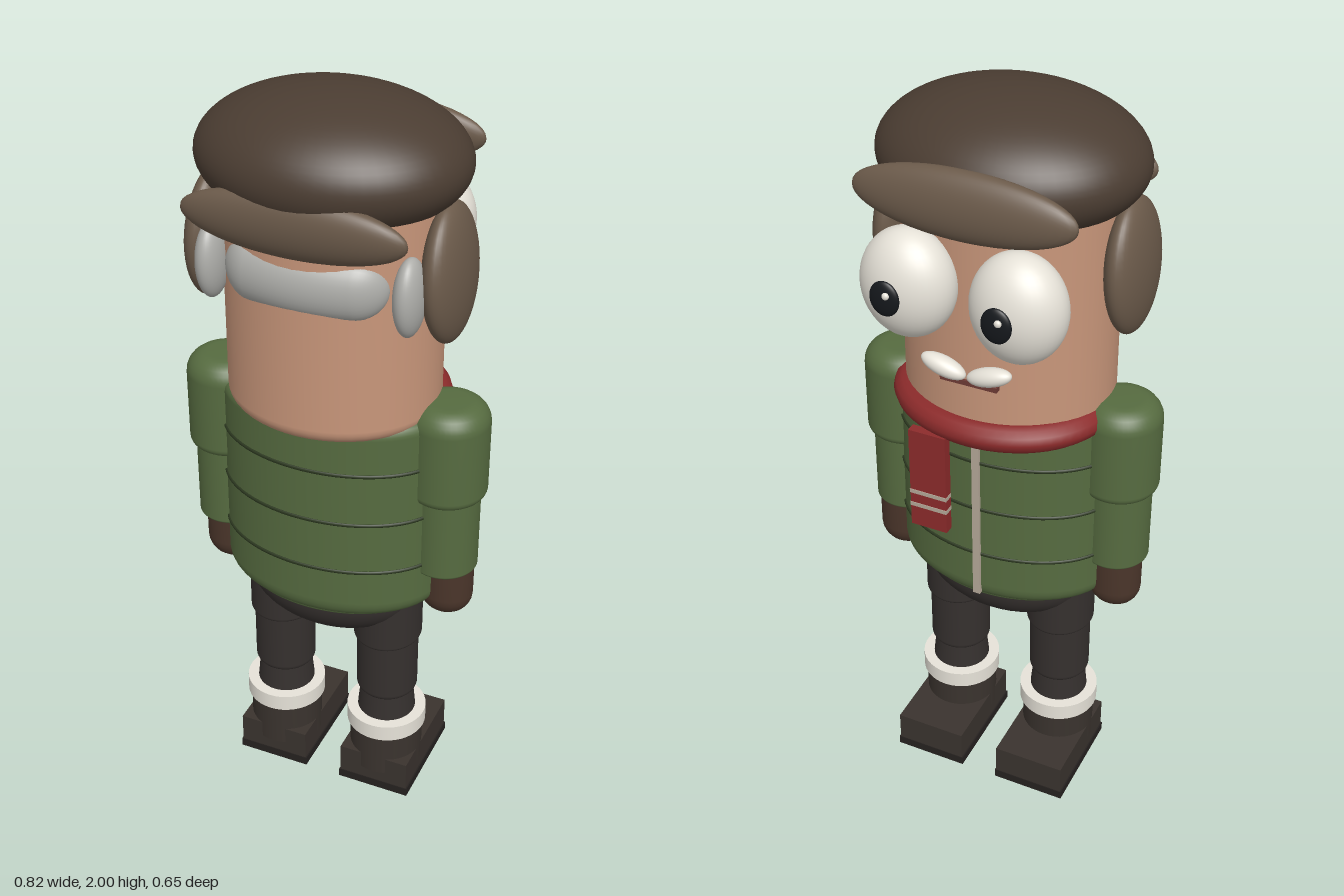
import * as THREE from 'three';

const C = {
  skin: 0xc8967a, cap: 0x4b3d32, fur: 0x6b5a4a, coat: 0x566b40, seam: 0x2c3820, scarf: 0x8c2b2b,
  white: 0xe6e2d8, black: 0x15181c, hair: 0xaeaeaa, pants: 0x35302e, boot: 0x3a332e, sole: 0x262220,
  glove: 0x4a352a, mouth: 0x6e3b35, zip: 0xb5a898,
};
const CZ = 0.043; // depth of the body axis

export function createModel() {
  const model = new THREE.Group();
  const mats = {};
  const mat = (c) => (mats[c] ??= new THREE.MeshStandardMaterial({ color: C[c], side: THREE.DoubleSide }));

  function add(name, geo, color, x, y, z) {
    const m = new THREE.Mesh(geo, mat(color));
    m.name = name;
    m.position.set(x, y, z);
    model.add(m);
    return m;
  }
  const ball = (name, color, x, y, z, rx, ry, rz) =>
    add(name, new THREE.SphereGeometry(1, 40, 24).scale(rx, ry, rz), color, x, y, z);
  const box = (name, color, x, y, z, w, h, d) => add(name, new THREE.BoxGeometry(w, h, d), color, x, y, z);
  const tube = (name, color, x, y0, y1, z, r0, r1 = r0) =>
    add(name, new THREE.CylinderGeometry(r1, r0, y1 - y0, 40), color, x, (y0 + y1) / 2, z);

  // Upright rounded drum with separate corner radii at the bottom and top
  function drum(name, color, x, y0, y1, z, rx, rz, bottom, top) {
    const pts = [new THREE.Vector2(0, y0)];
    const corner = (cy, c, a0) => {
      for (let i = 0; i <= 6; i++) {
        const a = a0 + (i / 6) * (Math.PI / 2);
        pts.push(new THREE.Vector2(1 - (c / rx) * (1 - Math.cos(a)), cy + c * Math.sin(a)));
      }
    };
    corner(y0 + bottom, bottom, -Math.PI / 2);
    corner(y1 - top, top, 0);
    pts.push(new THREE.Vector2(0, y1));
    return add(name, new THREE.LatheGeometry(pts, 48).scale(rx, 1, rz), color, x, 0, z);
  }
  const ring = (name, color, y, z, rx, rz, t, ty = t) => {
    const g = new THREE.TorusGeometry(1, t / rx, 12, 64).rotateX(Math.PI / 2);
    return add(name, g.scale(rx, (ty * rx) / t, rz), color, 0, y, z);
  };

  // Head
  drum('head', 'skin', 0, 1.19, 1.84, 0.045, 0.272, 0.236, 0.04, 0.04);

  // Cap: flattened dome with a flat underside, plus front and back brims
  const cut = Math.PI * 0.667;
  const dome = [];
  for (let i = 0; i <= 24; i++) {
    const a = cut * (1 - i / 24);
    dome.push(new THREE.Vector2(Math.sin(a), 1.84 + 0.16 * Math.cos(a)));
  }
  dome.unshift(new THREE.Vector2(0, dome[0].y));
  add('cap', new THREE.LatheGeometry(dome, 56).scale(0.332, 1, 0.273), 'cap', 0, 0, 0.052);
  ball('frontBrim', 'fur', 0, 1.822, -0.21, 0.278, 0.083, 0.043).rotation.x = 0.12;
  ball('backBrim', 'fur', 0, 1.75, 0.278, 0.278, 0.081, 0.045).rotation.x = 0.12;

  // Hair at the back: a sausage bent around the head
  const hair = new THREE.CapsuleGeometry(0.073, 0.265, 12, 32, 16).rotateZ(Math.PI / 2).scale(1, 1, 0.65);
  const p = hair.attributes.position;
  for (let i = 0; i < p.count; i++) p.setZ(i, p.getZ(i) - 1.1 * p.getX(i) ** 2);
  hair.computeVertexNormals();
  add('backHair', hair, 'hair', 0, 1.595, 0.247);

  for (const s of [1, -1]) {
    ball('earFlap', 'fur', s * 0.302, 1.605, 0.07, 0.052, 0.172, 0.133).rotation.z = s * 0.05;
    ball('sideHair', 'hair', s * 0.25, 1.585, 0.19, 0.036, 0.098, 0.06);

    // Eyes, with both pupils looking slightly to the left
    const ex = s * 0.14;
    ball('eye', 'white', ex, 1.6, -0.213, 0.119, 0.138, 0.094);
    ball('pupil', 'black', ex + 0.013, 1.6, -0.307, 0.038, 0.045, 0.013);
    ball('eyeGlint', 'white', ex + 0.003, 1.615, -0.32, 0.009, 0.009, 0.007);

    ball('moustache', 'white', s * 0.06, 1.387, -0.205, 0.06, 0.024, 0.026).rotation.z = s * 0.28;

    // Arms
    drum('shoulder', 'coat', s * 0.305, 0.985, 1.252, 0.043, 0.103, 0.103, 0.025, 0.055);
    drum('forearm', 'coat', s * 0.305, 0.77, 1.02, 0.043, 0.087, 0.087, 0.008, 0.008);
    drum('hand', 'glove', s * 0.312, 0.615, 0.8, 0.032, 0.07, 0.062, 0.06, 0.03);

    // Legs
    const lx = s * 0.154;
    drum('thigh', 'pants', lx, 0.49, 0.68, 0.043, 0.091, 0.098, 0.012, 0.01);
    drum('knee', 'pants', lx, 0.305, 0.52, 0.043, 0.083, 0.083, 0.02, 0.01);
    tube('shin', 'pants', lx, 0.2, 0.33, 0.043, 0.083, 0.07);

    // Boots
    tube('bootCuff', 'white', lx, 0.19, 0.237, 0.043, 0.109);
    tube('bootShaft', 'boot', lx, 0.06, 0.2, 0.043, 0.1);
    box('boot', 'boot', lx, 0.067, -0.014, 0.198, 0.086, 0.3);
    box('sole', 'sole', lx, 0.0125, -0.014, 0.205, 0.025, 0.304);
  }
  box('mouth', 'mouth', 0, 1.347, -0.188, 0.15, 0.013, 0.018);

  // Padded jacket with dark seams
  drum('jacket', 'coat', 0, 0.65, 1.22, CZ, 0.298, 0.201, 0.05, 0.03);
  for (const y of [0.8, 0.945, 1.09]) ring('jacketSeam', 'seam', y, CZ, 0.298, 0.201, 0.005);
  ring('jacketHem', 'coat', 0.66, CZ, 0.25, 0.176, 0.012);
  box('zip', 'zip', 0, 0.92, -0.16, 0.02, 0.5, 0.012);

  // Scarf
  ring('scarf', 'scarf', 1.208, 0.008, 0.245, 0.205, 0.043, 0.036);
  box('scarfTail', 'scarf', 0.1, 1.045, -0.216, 0.1, 0.29, 0.026);
  for (const y of [0.965, 1.005]) box('scarfStripe', 'zip', 0.1, y, -0.217, 0.102, 0.011, 0.028);

  // Hips
  ball('hips', 'pants', 0, 0.65, CZ, 0.243, 0.14, 0.168);
  return model;
}
